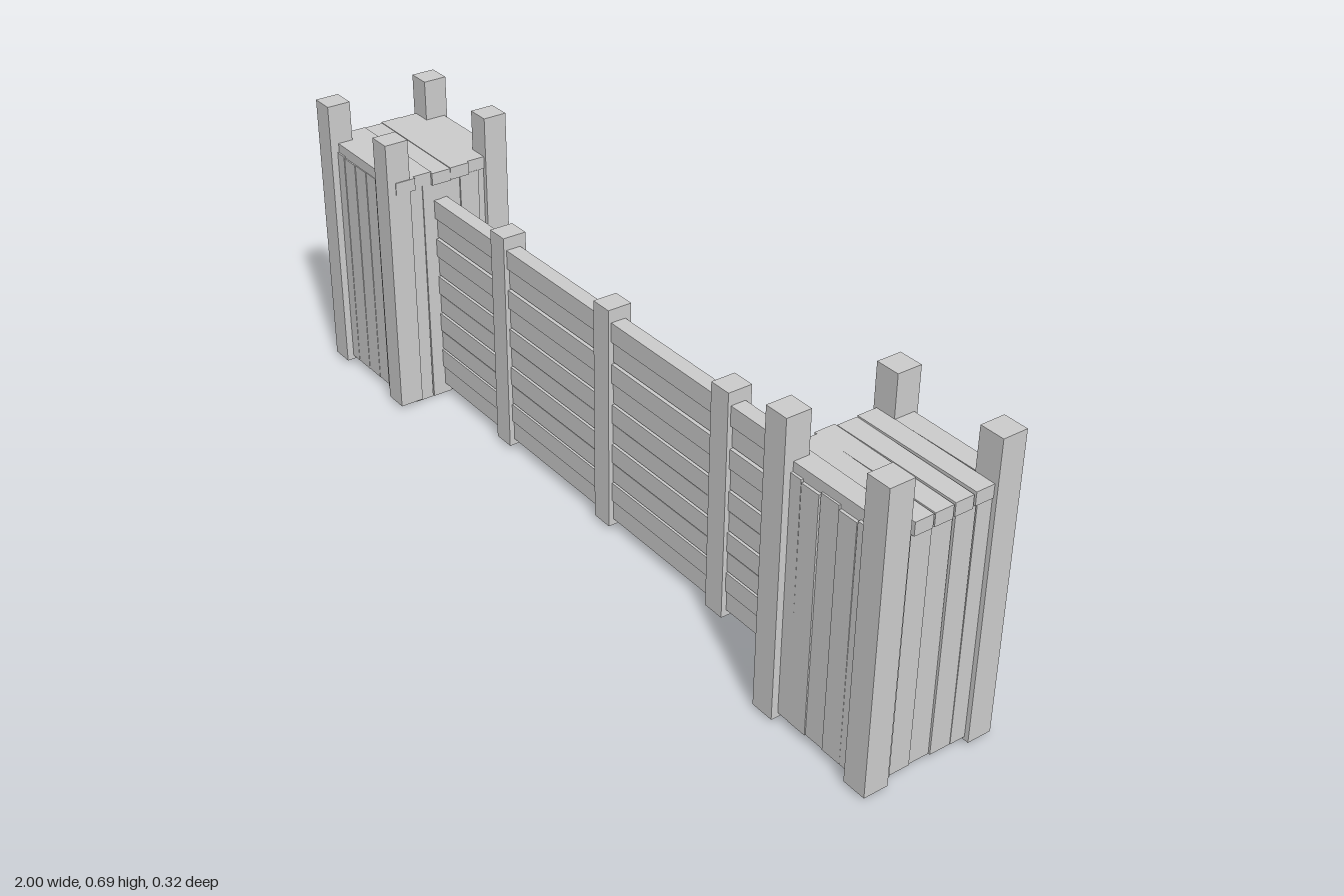
import * as THREE from 'three';

const wood = new THREE.MeshStandardMaterial({ color: 0xcccccc });
wood.name = 'plain grey wood';
wood.flatShading = true;

// Small repeatable variation for rough timber
let seed = 7;
const vary = (amount) => {
  seed = (seed * 16807) % 2147483647;
  return (seed / 2147483647 - 0.5) * 2 * amount;
};

// Box given by its limits on each axis
function timber(parent, name, [x0, x1], [y0, y1], [z0, z1]) {
  const mesh = new THREE.Mesh(new THREE.BoxGeometry(x1 - x0, y1 - y0, z1 - z0), wood);
  mesh.position.set((x0 + x1) / 2, (y0 + y1) / 2, (z0 + z1) / 2);
  mesh.name = name;
  parent.add(mesh);
  return mesh;
}

// Plank whose far end (along one axis) is narrowed across another, leaving a tapering crack
function taper(mesh, along, across, factor) {
  const p = mesh.geometry.attributes.position;
  for (let i = 0; i < p.count; i++) {
    if (p.getComponent(i, along) > 0) p.setComponent(i, across, p.getComponent(i, across) * factor);
  }
  mesh.geometry.computeVertexNormals();
}

function tower(side) {
  const g = new THREE.Group();
  g.name = side > 0 ? 'leftTower' : 'rightTower';
  const span = (a, b) => (side > 0 ? [a, b] : [-b, -a]);

  // Corner posts
  for (const x of [0.675, 0.943]) {
    for (const z of [-0.16, 0.102]) {
      timber(g, 'cornerPost', span(x, x + 0.057), [0.008, 0.693], [z, z + 0.058]);
    }
  }

  // Front and back wall planks
  for (const z of [-0.153, 0.123]) {
    for (let i = 0; i < 5; i++) {
      const x = 0.712 + i * 0.05;
      const dz = vary(0.003);
      const plank = timber(g, 'wallPlank', span(x, x + 0.05),
        [0.018, 0.572 + vary(0.006)], [z + dz, z + 0.02 + dz]);
      taper(plank, 1, 0, 0.96);
    }
  }

  // Outer and inner side wall planks
  for (let i = 0; i < 5; i++) {
    const z = -0.115 + i * 0.051;
    const dx = vary(0.003);
    const outer = timber(g, 'outerPlank', span(0.965 + dx, 0.987 + dx),
      [0.016, 0.565], [z, z + 0.0505]);
    taper(outer, 1, 2, 0.96);
    const zi = -0.135 + i * 0.0505;
    const inner = timber(g, 'innerPlank', span(0.685 - dx, 0.708 - dx),
      [0, 0.566], [zi, zi + 0.048]);
    taper(inner, 1, 2, 1.04);
  }

  // Deck boards with uneven ends
  for (let i = 0; i < 6; i++) {
    const z = -0.152 + i * 0.0485;
    const dy = vary(0.003);
    const board = timber(g, 'deckBoard', span(0.678 + vary(0.006), 0.994 + vary(0.005)),
      [0.564 + dy, 0.594 + dy], [z, z + 0.0485]);
    taper(board, 0, 2, side > 0 ? 0.9 : 1.03);
  }
  return g;
}

function fence() {
  const g = new THREE.Group();
  g.name = 'fence';

  // Horizontal boards, alternately set a little forward and back
  for (let i = 0; i < 10; i++) {
    const y = 0.025 + i * 0.05;
    const dz = (i % 2 ? 0.002 : -0.002) + vary(0.001);
    timber(g, 'fenceBoard', [-0.69, 0.69], [y, y + 0.046], [dz - 0.002, dz + 0.034]);
  }
  // Core closing the narrow gaps between boards
  timber(g, 'fenceCore', [-0.685, 0.685], [0.03, 0.52], [0.009, 0.023]);

  // Upright posts
  for (const x of [-0.4, 0, 0.4]) {
    timber(g, 'fencePost', [x - 0.027, x + 0.027], [0.01, 0.552], [-0.014, 0.044]);
  }
  return g;
}

export function createModel() {
  seed = 7;
  const model = new THREE.Group();
  model.name = 'woodenBarricade';
  model.add(tower(1), tower(-1), fence());
  return model;
}
